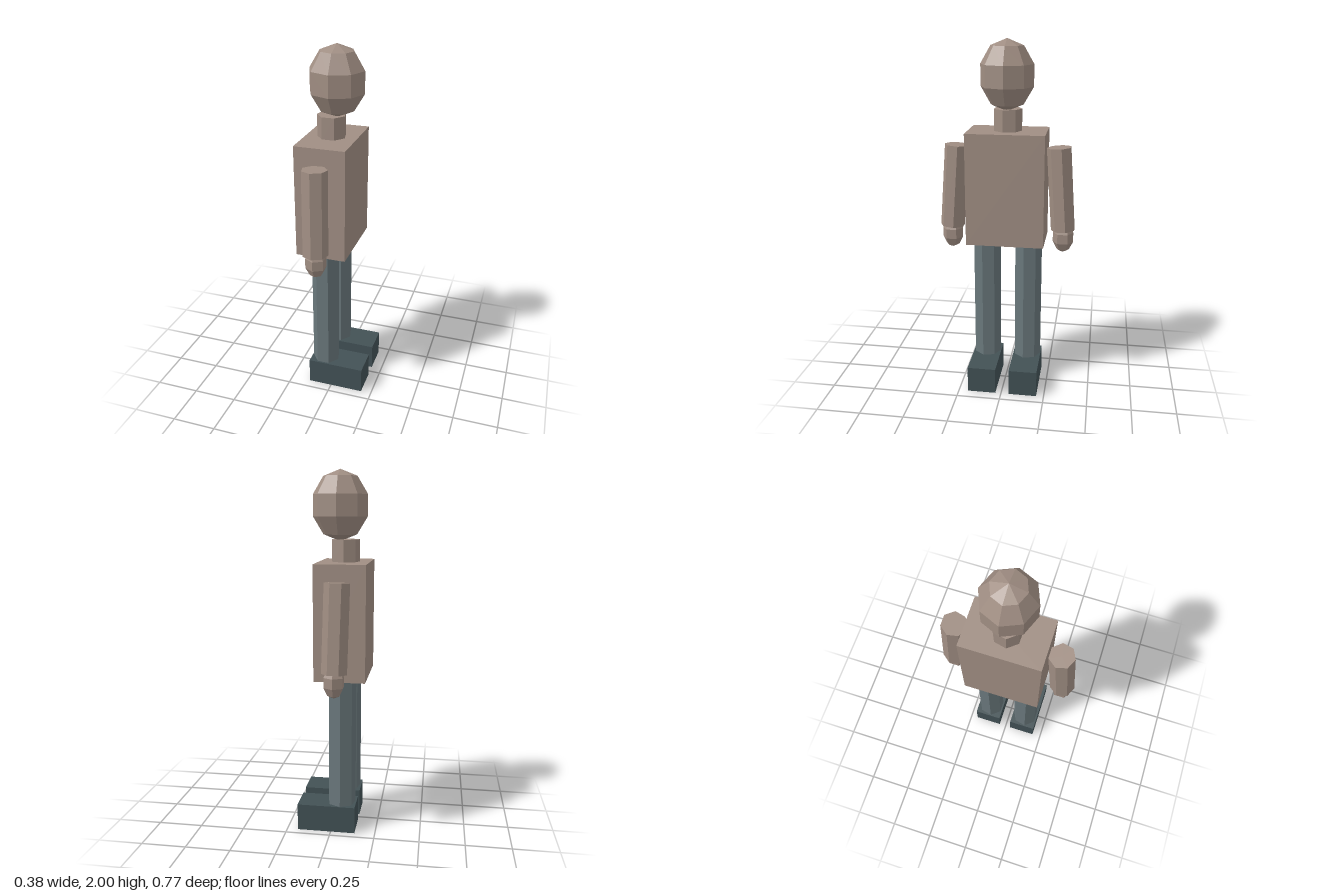
import * as THREE from 'three';

const paint = (name, color) => {
  const m = new THREE.MeshStandardMaterial({ color, flatShading: true });
  m.name = name;
  return m;
};

export function createModel() {
  const model = new THREE.Group();
  model.name = 'blockyFigure';
  const skin = paint('warm taupe', 0xa08e83);
  const trousers = paint('slate grey', 0x69777b);
  const shoes = paint('dark slate', 0x425155);

  const add = (name, geometry, material, x, y, z) => {
    const mesh = new THREE.Mesh(geometry, material);
    mesh.name = name;
    mesh.position.set(x, y, z);
    model.add(mesh);
    return mesh;
  };
  const midZ = -0.005; // the figure faces +x, its sides lie along z

  // Torso, neck and faceted head
  add('torso', new THREE.BoxGeometry(0.28, 0.63, 0.435), skin, -0.05, 1.195, midZ);
  add('neck', new THREE.CylinderGeometry(0.079, 0.079, 0.13, 7), skin, -0.052, 1.565, midZ).rotation.y = Math.PI;
  add('head', new THREE.SphereGeometry(1, 8, 5), skin, -0.023, 1.81, midZ).scale.set(0.158, 0.19, 0.152);

  for (const [label, s] of [['right', 1], ['left', -1]]) {
    // Leg and shoe
    const z = midZ + s * 0.12;
    add(label + 'Leg', new THREE.CylinderGeometry(0.079, 0.079, 0.74, 7), trousers, -0.052, 0.515, z).rotation.y = Math.PI;
    add(label + 'Shoe', new THREE.BoxGeometry(0.325, 0.152, 0.163), shoes, 0.027, 0.076, z);

    // Arm, leaning outwards towards the hand
    const top = new THREE.Vector3(-0.051, 1.423, midZ + s * 0.286);
    const wrist = new THREE.Vector3(-0.041, 0.953, midZ + s * 0.319);
    const axis = top.clone().sub(wrist);
    const mid = top.clone().add(wrist).multiplyScalar(0.5);
    const arm = add(label + 'Arm', new THREE.CylinderGeometry(0.07, 0.07, axis.length(), 7), skin, mid.x, mid.y, mid.z);
    arm.quaternion.setFromUnitVectors(new THREE.Vector3(0, 1, 0), axis.normalize());

    // Hand
    const hand = add(label + 'Hand', new THREE.SphereGeometry(1, 6, 5), skin, -0.038, 0.91, midZ + s * 0.319);
    hand.scale.set(0.061, 0.089, 0.061);
    hand.rotation.y = Math.PI / 6;
  }
  return model;
}
